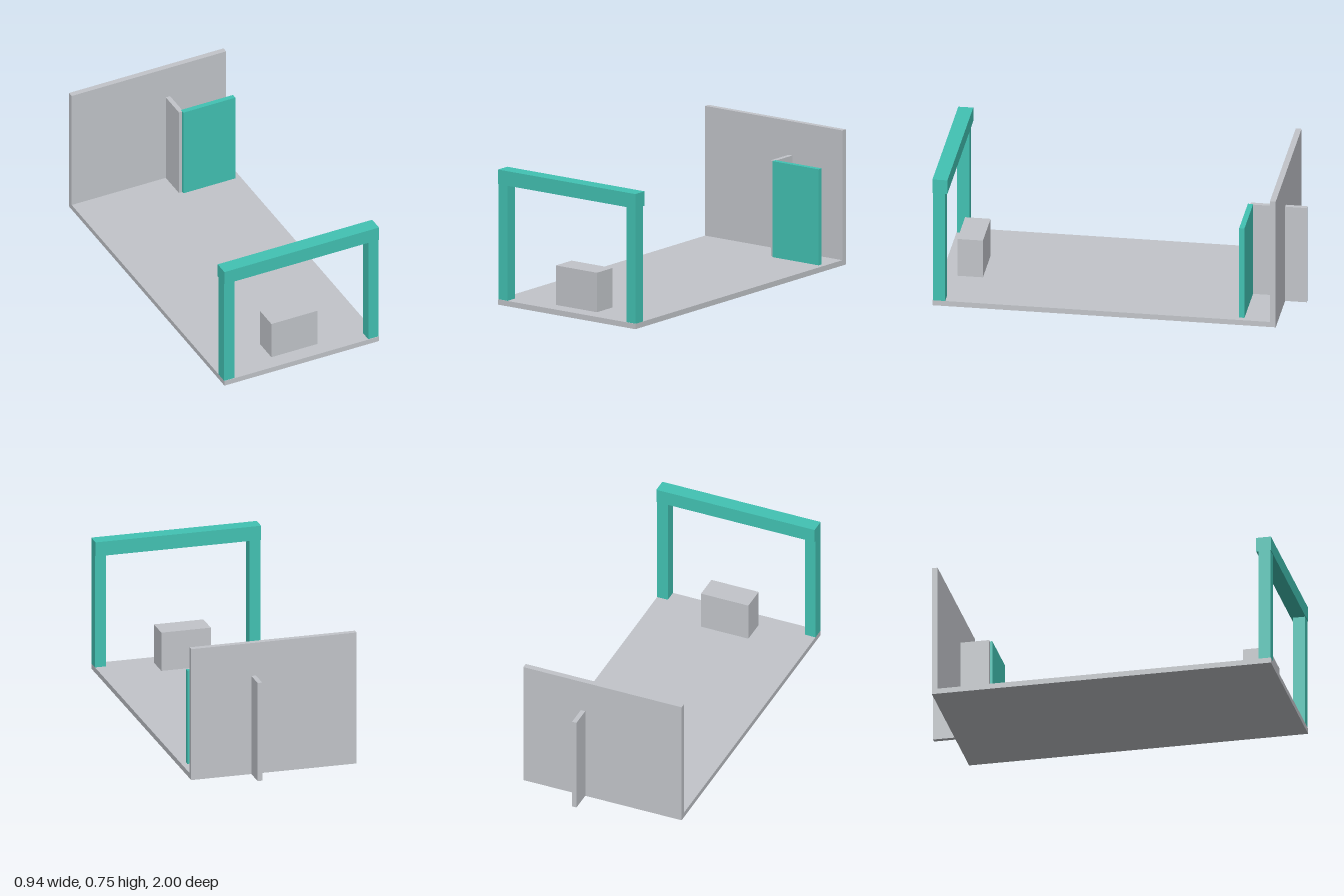
import * as THREE from 'three';

export function createModel() {
  const group = new THREE.Group();
  const grey = new THREE.MeshStandardMaterial({ color: 0xc2c5ca });
  grey.name = 'light grey';
  const teal = new THREE.MeshStandardMaterial({ color: 0x42c2b3 });
  teal.name = 'teal';

  // Box given by its extents along each axis
  function box(name, material, [x0, x1], [y0, y1], [z0, z1]) {
    const mesh = new THREE.Mesh(new THREE.BoxGeometry(x1 - x0, y1 - y0, z1 - z0), material);
    mesh.position.set((x0 + x1) / 2, (y0 + y1) / 2, (z0 + z1) / 2);
    mesh.name = name;
    group.add(mesh);
  }

  // Floor slab and back wall
  box('floor', grey, [-0.468, 0.468], [0, 0.03], [-0.88, 1]);
  box('backWall', grey, [-0.468, 0.468], [0, 0.753], [-0.881, -0.849]);

  // Front gateway: two posts carrying a beam
  box('rightPost', teal, [-0.468, -0.405], [0.03, 0.672], [0.93, 0.997]);
  box('leftPost', teal, [0.405, 0.468], [0.03, 0.672], [0.93, 0.997]);
  box('beam', teal, [-0.468, 0.468], [0.672, 0.753], [0.918, 1]);

  // Block standing behind the gateway
  box('block', grey, [-0.14, 0.14], [0.03, 0.25], [0.773, 0.913]);

  // Thin partition running through the back wall, with a panel across its front
  box('partition', grey, [0.102, 0.128], [0, 0.564], [-1, -0.69]);
  box('panel', teal, [0.122, 0.437], [0.03, 0.565], [-0.705, -0.676]);

  return group;
}
